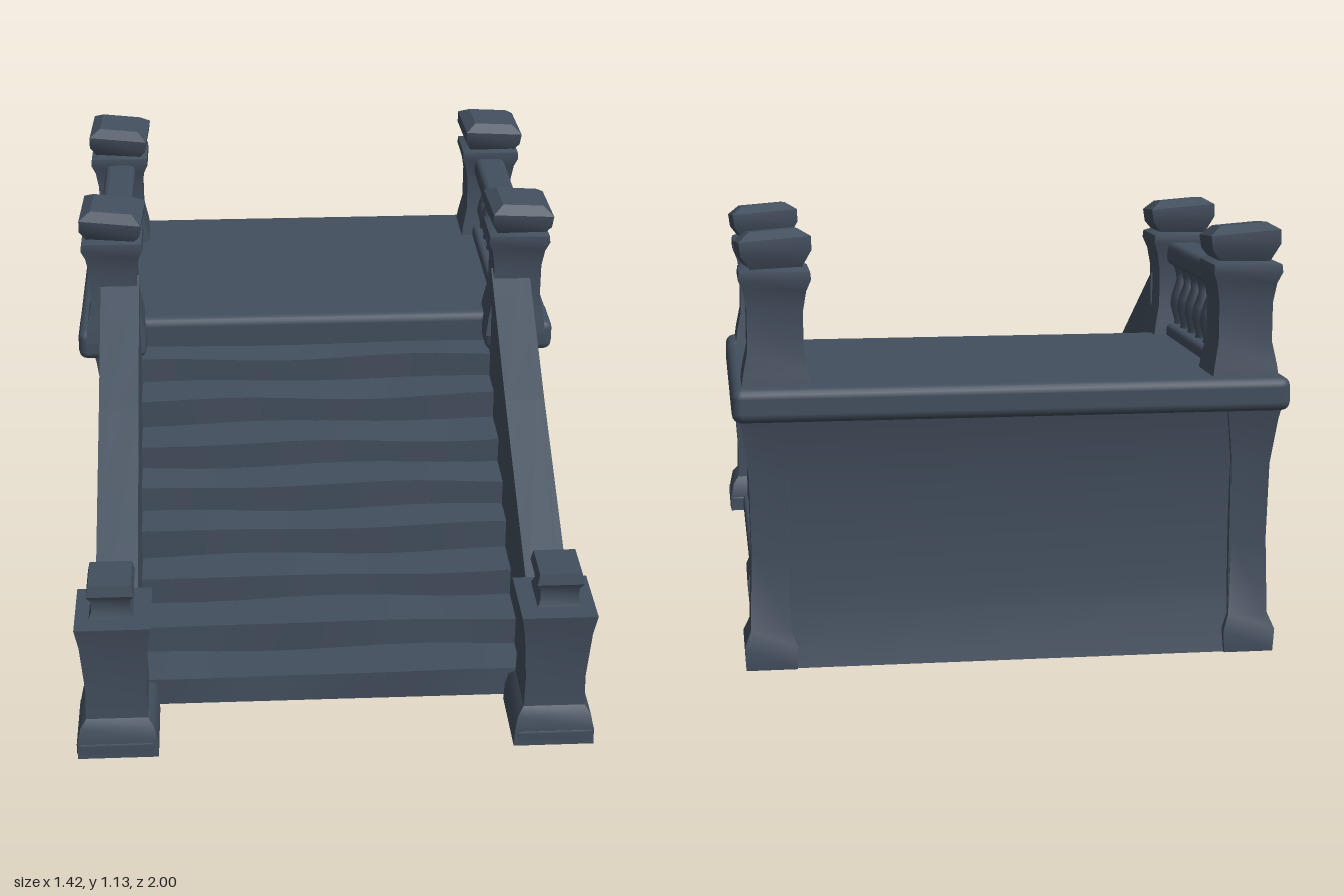
import * as THREE from 'three';
import { toCreasedNormals } from 'three/addons/utils/BufferGeometryUtils.js';
import { RoundedBoxGeometry } from 'three/addons/geometries/RoundedBoxGeometry.js';

const stone = new THREE.MeshStandardMaterial({ color: 0x434f5e });
stone.name = 'slate stone';

function add(parent, name, geometry, x = 0, y = 0, z = 0) {
  const mesh = new THREE.Mesh(geometry, stone);
  mesh.name = name;
  mesh.position.set(x, y, z);
  parent.add(mesh);
  return mesh;
}

// Square pillar from [half width, height] levels, closed at both ends
function pillar(levels, depthScale = 1) {
  const pts = levels.map(([h, y]) => new THREE.Vector2(h * Math.SQRT2, y));
  pts.unshift(new THREE.Vector2(0, levels[0][1]));
  pts.push(new THREE.Vector2(0, levels[levels.length - 1][1]));
  const g = new THREE.LatheGeometry(pts, 4, Math.PI / 4);
  g.scale(1, 1, depthScale);
  return toCreasedNormals(g, 0.6);
}

// Box between two corners, softened edges
function block(parent, name, x0, x1, y0, y1, z0, z1, r = 0.012) {
  const g = new RoundedBoxGeometry(x1 - x0, y1 - y0, z1 - z0, 2, r);
  return add(parent, name, g, (x0 + x1) / 2, (y0 + y1) / 2, (z0 + z1) / 2);
}

// Block on one side of the model; s = 1 is left (+x), s = -1 is right
function sideBlock(parent, name, s, xIn, xOut, y0, y1, z0, z1, r) {
  return block(parent, name, Math.min(s * xIn, s * xOut), Math.max(s * xIn, s * xOut), y0, y1, z0, z1, r);
}

// Extrude a (z, y) outline along x, between xMin and xMax
function slab(shape, xMin, xMax) {
  const g = new THREE.ExtrudeGeometry(shape, { depth: xMax - xMin, bevelEnabled: false, curveSegments: 10 });
  g.rotateY(-Math.PI / 2);
  g.translate(xMax, 0, 0);
  return toCreasedNormals(g, 0.6);
}
const sideSlab = (shape, s, xIn, xOut) =>
  s > 0 ? slab(shape, xIn, xOut) : slab(shape, -xOut, -xIn);

const outline = (pts) => new THREE.Shape(pts.map(([z, y]) => new THREE.Vector2(z, y)));

function buildSteps(parent) {
  const fronts = [0.76, 0.63, 0.5, 0.38, 0.27, 0.15, 0.02, -0.1];
  const tops = [0.09, 0.175, 0.25, 0.335, 0.415, 0.49, 0.57, 0.645];
  fronts.forEach((zf, i) => {
    const depth = zf + 0.3, h = tops[i];
    const g = new THREE.BoxGeometry(1.08, h, depth, 12, 1, 1);
    g.translate(0, h / 2, zf - depth / 2);
    // Worn, slightly wavy nosing
    const p = g.attributes.position;
    for (let k = 0; k < p.count; k++) {
      const x = p.getX(k);
      if (p.getY(k) > h - 0.01 && p.getZ(k) > zf - 0.01) {
        p.setZ(k, zf + 0.006 * Math.sin(9 * x + i * 2.1));
        p.setY(k, h - 0.006 + 0.005 * Math.sin(7 * x + i * 1.7));
      }
    }
    add(parent, 'step' + (i + 1), toCreasedNormals(g, 0.6));
  });
}

function buildStairWall(parent, s) {
  // Sloping side wall with a sunken triangular panel
  const edge = [[0.82, 0], [0.82, 0.35], [0.25, 0.66], [-0.15, 0.9], [-0.15, 0]];
  add(parent, 'stairWall', sideSlab(outline(edge), s, 0.525, 0.615));
  const frame = outline(edge);
  frame.holes.push(new THREE.Path([[0.7, 0.06], [-0.13, 0.06], [-0.13, 0.58], [0.22, 0.36]]
    .map(([z, y]) => new THREE.Vector2(z, y))));
  add(parent, 'stairWallFrame', sideSlab(frame, s, 0.61, 0.638));
  sideBlock(parent, 'stairWallBase', s, 0.54, 0.652, 0, 0.05, -0.15, 0.82);
}

function buildFrontPost(parent, s) {
  const shaft = [[0.108, 0], [0.106, 0.05], [0.098, 0.09], [0.082, 0.11], [0.08, 0.2], [0.09, 0.34], [0.1, 0.4]];
  add(parent, 'frontPost', pillar(shaft, 1.02), s * 0.585, 0, 0.89);
  // Broad step at the foot keeps the front edge forward
  sideBlock(parent, 'frontPostFoot', s, 0.48, 0.695, 0, 0.05, 0.78, 1);
  const cap = [[0.062, 0.39], [0.05, 0.42], [0.052, 0.45], [0.062, 0.47], [0.056, 0.5]];
  add(parent, 'frontPostCap', pillar(cap, 1.1), s * 0.59, 0, 0.875);
}

function buildLandingPost(parent, s, z, name) {
  const shaft = [[0.09, 0.7], [0.082, 0.76], [0.07, 0.82], [0.07, 0.92], [0.078, 0.97],
    [0.09, 1.0], [0.088, 1.02], [0.064, 1.03], [0.064, 1.05]];
  add(parent, name, pillar(shaft, 0.92), s * 0.6, 0, z);
  const cap = [[0.06, -0.04], [0.088, 0.005], [0.09, 0.04], [0.06, 0.062]];
  const top = add(parent, name + 'Cap', pillar(cap, 0.95), s * 0.6, 1.055, z);
  top.rotation.set(0.08, s * 0.06, -0.08);
}

function buildBalustrade(parent, s) {
  sideBlock(parent, 'handrail', s, 0.55, 0.645, 0.935, 1.0, -0.85, -0.2, 0.02);
  sideBlock(parent, 'bottomRail', s, 0.55, 0.645, 0.71, 0.765, -0.85, -0.2, 0.015);
  const profile = [[0.03, 0.75], [0.024, 0.775], [0.036, 0.82], [0.032, 0.85], [0.018, 0.89], [0.02, 0.91], [0.032, 0.945]]
    .map(([r, y]) => new THREE.Vector2(r, y));
  const g = new THREE.LatheGeometry(profile, 10);
  for (let i = 0; i < 7; i++) add(parent, 'baluster', g, s * 0.597, 0, -0.25 - i * 0.09);
}

function buildLandingSide(parent, s) {
  // Side wall with an arched niche
  const wall = outline([[-0.13, 0], [-0.13, 0.67], [-0.94, 0.67], [-0.94, 0]]);
  const arch = new THREE.Path();
  arch.moveTo(-0.34, 0.03);
  arch.lineTo(-0.36, 0.28);
  arch.quadraticCurveTo(-0.4, 0.46, -0.5, 0.485);
  arch.lineTo(-0.57, 0.485);
  arch.quadraticCurveTo(-0.61, 0.35, -0.66, 0.03);
  arch.closePath();
  wall.holes.push(arch);
  add(parent, 'nicheWall', sideSlab(wall, s, 0.57, 0.635));
  // Flared piers at both ends of the niche wall
  const pier = [[0.065, 0], [0.068, 0.06], [0.052, 0.1], [0.046, 0.3], [0.05, 0.5], [0.065, 0.62], [0.075, 0.67]];
  add(parent, 'rearPier', pillar(pier, 1.25), s * 0.622, 0, -0.882);
  add(parent, 'frontPier', pillar(pier.map(([h, y]) => [h * 0.85, y]), 1.7), s * 0.608, 0, -0.235);
  sideBlock(parent, 'landingBase', s, 0.55, 0.66, 0, 0.035, -0.95, -0.13);
  sideBlock(parent, 'cornerBlock', s, 0.51, 0.712, 0.645, 0.738, -0.27, -0.1, 0.025);
}

export function createModel() {
  const model = new THREE.Group();
  model.name = 'stoneStaircase';

  const steps = new THREE.Group();
  steps.name = 'steps';
  model.add(steps);
  buildSteps(steps);

  // Solid body under the landing, with a hollowed back face
  const body = new THREE.Shape();
  body.moveTo(-0.19, 0);
  body.lineTo(-0.19, 0.7);
  body.lineTo(-0.97, 0.7);
  body.quadraticCurveTo(-0.9, 0.45, -0.93, 0.12);
  body.lineTo(-0.955, 0);
  body.closePath();
  add(model, 'landingBody', slab(body, -0.58, 0.58));
  block(model, 'landingFloor', -0.712, 0.712, 0.645, 0.733, -1, -0.19, 0.025);

  for (const s of [1, -1]) {
    const side = new THREE.Group();
    side.name = s > 0 ? 'leftSide' : 'rightSide';
    model.add(side);
    buildStairWall(side, s);
    buildFrontPost(side, s);
    buildLandingSide(side, s);
    buildLandingPost(side, s, -0.18, 'landingFrontPost');
    buildLandingPost(side, s, -0.88, 'landingRearPost');
    buildBalustrade(side, s);
  }
  return model;
}
